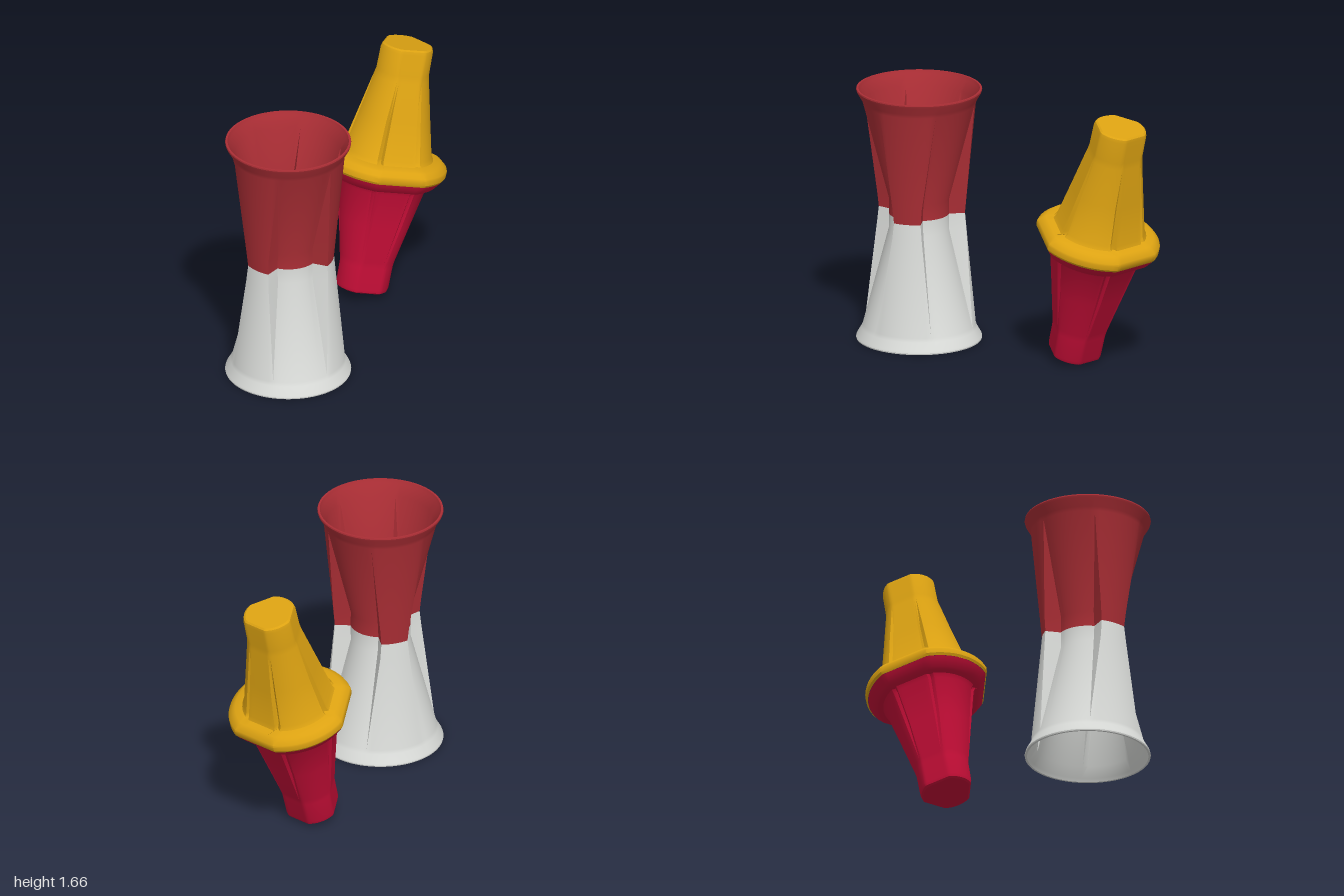
import * as THREE from 'three';
import { toCreasedNormals } from 'three/addons/utils/BufferGeometryUtils.js';

const RAD = Math.PI / 180;

// Repeats a mirrored half sector (list of [angle, radius], 0..60 deg) around three lobes
function threefold(half) {
  const sector = [...half.slice(1).reverse().map(([a, r]) => [-a, r]), ...half].slice(1);
  const ring = [];
  for (const centre of [60, 180, 300]) {
    for (const [a, r] of sector) ring.push([(centre + a) * RAD, r]);
  }
  return ring;
}

// Skins a stack of rings; going up gives outside faces, going down inside faces
function loft(sections) {
  const pos = [], index = [], n = sections[0].ring.length;
  for (const { y, ring } of sections) {
    for (const [a, r] of ring) pos.push(r * Math.cos(a), y, r * Math.sin(a));
  }
  for (let j = 0; j < sections.length - 1; j++) {
    for (let i = 0; i < n; i++) {
      const a = j * n + i, b = j * n + (i + 1) % n;
      index.push(a, a + n, b, b, a + n, b + n);
    }
  }
  const g = new THREE.BufferGeometry();
  g.setAttribute('position', new THREE.Float32BufferAttribute(pos, 3));
  g.setIndex(index);
  return toCreasedNormals(g, 30 * RAD);
}

// Cup section: raised rib of half angle ha on a round core
function cupSection([y, rib, core, ha]) {
  const half = [];
  for (let i = 0; i <= 6; i++) half.push([ha * i / 6, rib]);
  const start = ha + 5;
  for (let i = 0; i <= 8; i++) half.push([start + (60 - start) * i / 8, core]);
  return { y, ring: threefold(half) };
}

// Plug section: round lobe, groove, flat panel
function plugSection([y, R, flat, ha, groove]) {
  const radius = (a) => Math.min(R, R * flat / Math.cos((60 - a) * RAD));
  const half = [];
  for (let i = 0; i <= 8; i++) half.push([ha * i / 8, radius(ha * i / 8)]);
  half.push([ha + 4, radius(ha + 4) - groove]);
  const start = ha + 8;
  for (let i = 0; i <= 4; i++) {
    const a = start + (60 - start) * i / 4;
    half.push([a, radius(a)]);
  }
  return { y, ring: threefold(half) };
}

// Open cup with hollow ribs, floor with a round hole at the waist
function cupGeometry() {
  return loft([
    // outside
    [0, 0.287, 0.19, 17.5],
    [0.1, 0.296, 0.19, 18.8],
    [0.72, 0.355, 0.352, 28],
    [0.745, 0.362, 0.361, 28],
    [0.795, 0.391, 0.391, 28],
    [0.808, 0.395, 0.395, 28],
    [0.816, 0.393, 0.393, 28],
    // inside
    [0.816, 0.38, 0.38, 26],
    [0.795, 0.371, 0.371, 26],
    [0.73, 0.335, 0.333, 25],
    [0.1, 0.275, 0.17, 14.5],
    [0.03, 0.268, 0.17, 13.5],
    [0.03, 0.142, 0.142, 13.5],
    [0, 0.142, 0.142, 13.5],
  ].map(cupSection));
}

// Tapered solid plug on top of a given flange profile
function plugGeometry(flange, groove) {
  return loft([
    ...flange.map(([y, r]) => [y, r, 0.914, 36, 0]),
    [0.086, 0.298, 0.925, 31, groove * 0.8],
    [0.11, 0.283, 0.93, 30, groove],
    [0.35, 0.231, 0.92, 30, groove * 0.7],
    [0.6, 0.178, 0.9, 30, 0],
    [0.64, 0.172, 0.88, 30, 0],
    [0.785, 0.17, 0.875, 30, 0],
    [0.805, 0.164, 0.875, 30, 0],
    [0.813, 0.152, 0.875, 30, 0],
    [0.813, 0, 1, 30, 0],
  ].map(plugSection));
}

export function createModel() {
  const material = (name, color) => {
    const m = new THREE.MeshStandardMaterial({ color });
    m.name = name;
    return m;
  };
  const darkRed = material('darkRed', 0xab2e35);
  const lightGrey = material('lightGrey', 0xdcdedb);
  const amber = material('amber', 0xdca212);
  const crimson = material('crimson', 0xc60e37);

  const model = new THREE.Group();
  model.name = 'cupsAndPlugs';
  const add = (parent, name, geometry, mat, flipped) => {
    const mesh = new THREE.Mesh(geometry, mat);
    mesh.name = name;
    if (flipped) mesh.rotation.x = Math.PI;
    parent.add(mesh);
  };

  // Upright double cup
  const doubleCup = new THREE.Group();
  doubleCup.name = 'doubleCup';
  doubleCup.position.set(-0.605, 0.816, 0.173);
  add(doubleCup, 'upperCup', cupGeometry(), darkRed, false);
  add(doubleCup, 'lowerCup', cupGeometry(), lightGrey, true);
  model.add(doubleCup);

  // Leaning double plug
  const doublePlug = new THREE.Group();
  doublePlug.name = 'doublePlug';
  doublePlug.position.set(0.635, 0.832, -0.174);
  doublePlug.rotation.z = -15 * RAD;
  const upperFlange = [[-0.015, 0.384], [0, 0.394], [0.03, 0.395], [0.042, 0.39], [0.068, 0.362], [0.077, 0.345]];
  const lowerFlange = [[0.015, 0.383], [0.03, 0.374], [0.07, 0.342], [0.08, 0.326]];
  add(doublePlug, 'upperPlug', plugGeometry(upperFlange, 0.035), amber, false);
  add(doublePlug, 'lowerPlug', plugGeometry(lowerFlange, 0.016), crimson, true);
  model.add(doublePlug);

  return model;
}
